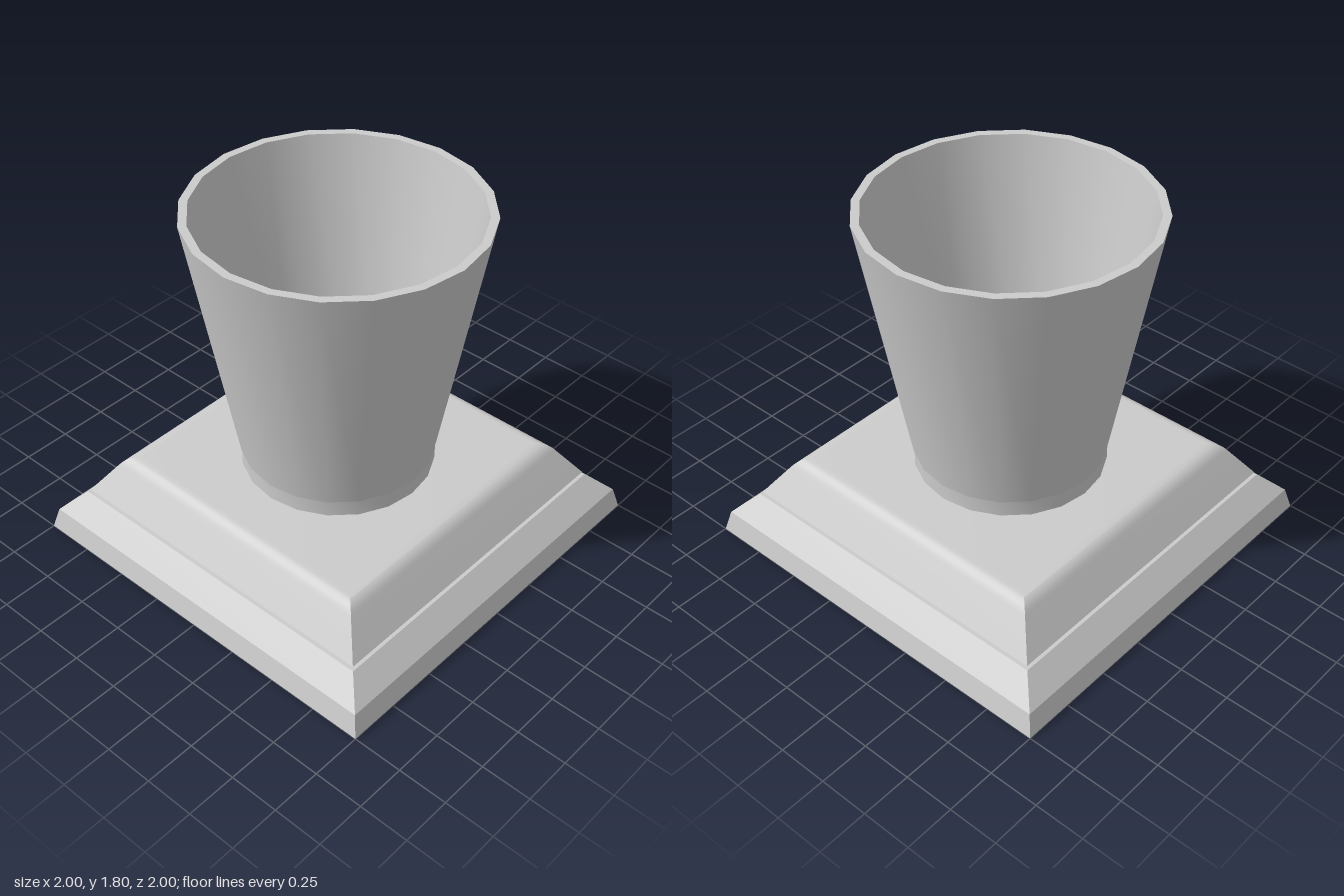
import * as THREE from 'three';
import { toCreasedNormals } from 'three/addons/utils/BufferGeometryUtils.js';

const material = new THREE.MeshStandardMaterial({ color: 0xcccccc });
const CREASE = 0.45;

// Revolves a [radius, height] profile; smooth except at sharp creases.
function turned(name, profile, sides, start = 0, scale = 1) {
  const points = profile.map(([r, y]) => new THREE.Vector2(r * scale, y));
  const geometry = new THREE.LatheGeometry(points, sides, start);
  const mesh = new THREE.Mesh(toCreasedNormals(geometry, CREASE), material);
  mesh.name = name;
  return mesh;
}

// Four-sided revolve whose profile gives half-widths of a square.
const square = (name, profile) => turned(name, profile, 4, Math.PI / 4, Math.SQRT2);

export function createModel() {
  const model = new THREE.Group();
  model.name = 'cupOnPlinth';

  // Square plinth: stepped foot, thin groove, sloped block with a rounded top edge
  const topEdge = new THREE.QuadraticBezierCurve(
    new THREE.Vector2(0.75, 0.385),
    new THREE.Vector2(0.72, 0.432),
    new THREE.Vector2(0.67, 0.432)
  ).getPoints(6).map((p) => [p.x, p.y]);

  model.add(square('plinth', [
    [0, 0], [1, 0], [0.973, 0.11], [0.866, 0.219],
    [0.842, 0.219], [0.842, 0.232], [0.856, 0.232],
    ...topEdge, [0, 0.432]
  ]));

  // Short neck between plinth and cup
  model.add(turned('neck', [[0.467, 0.432], [0.467, 0.52]], 20));

  // Hollow flared cup: underside, outer wall, rim, inner wall, floor
  model.add(turned('cup', [
    [0, 0.515], [0.47, 0.515], [0.7, 1.803],
    [0.66, 1.803], [0.445, 0.525], [0, 0.525]
  ], 20));

  return model;
}
